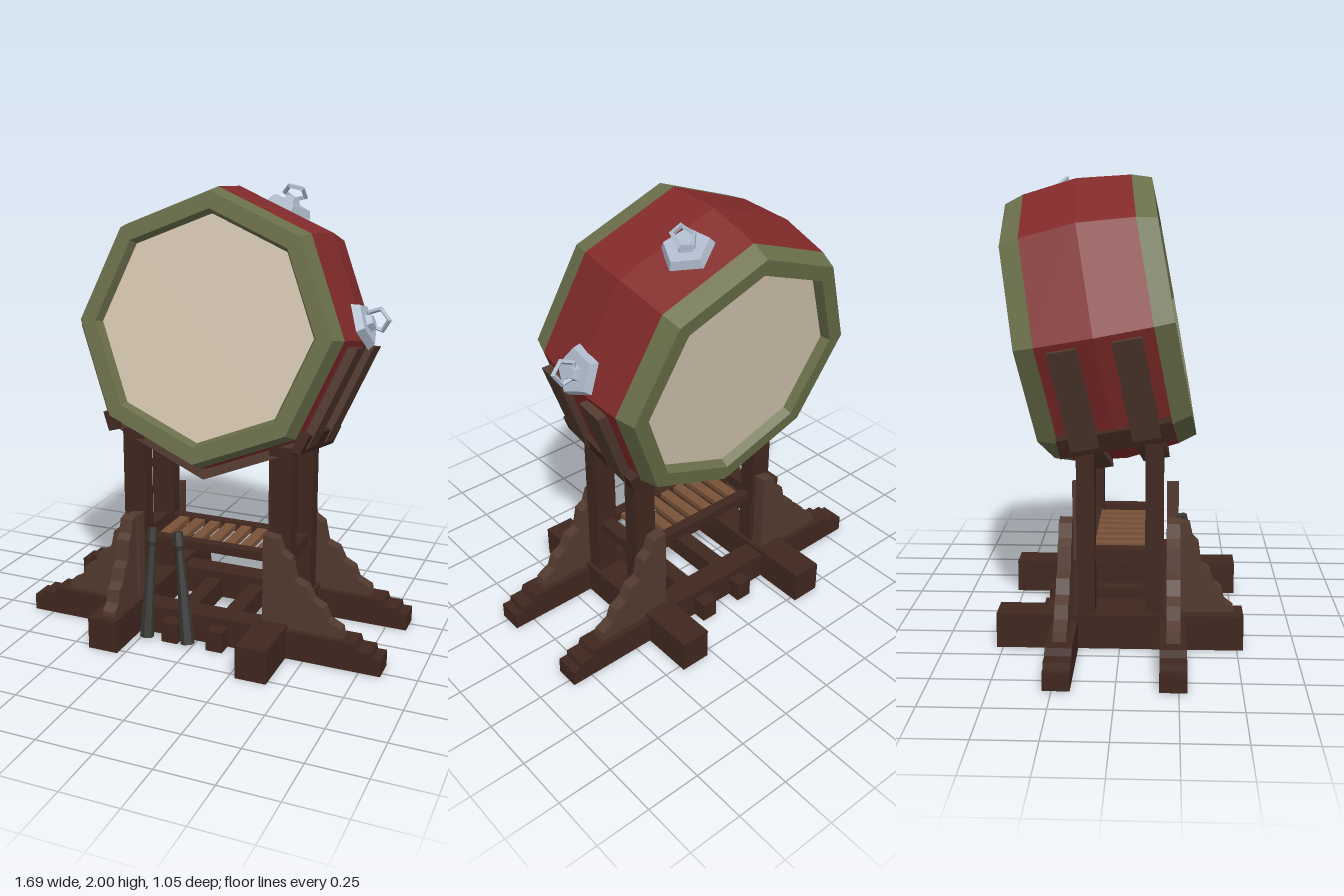
import * as THREE from 'three';

const mat = (color) => new THREE.MeshStandardMaterial({ color, flatShading: true });
const wood = mat(0x40271f), board = mat(0x523a2f), slatWood = mat(0x7a5238);
const red = mat(0x822a2a), green = mat(0x6a6f4a), skin = mat(0xd6c6b1);
const metal = mat(0xaebacb), dark = mat(0x383835);

function add(parent, name, geometry, material, x = 0, y = 0, z = 0) {
  const m = new THREE.Mesh(geometry, material);
  m.name = name;
  m.position.set(x, y, z);
  parent.add(m);
  return m;
}

// Box given by its limits on each axis
function box(parent, name, material, [x0, x1], [y0, y1], [z0, z1]) {
  return add(parent, name, new THREE.BoxGeometry(x1 - x0, y1 - y0, z1 - z0), material,
    (x0 + x1) / 2, (y0 + y1) / 2, (z0 + z1) / 2);
}

// Flat outline extruded along z and centred on it
function slab(points, depth) {
  const shape = new THREE.Shape(points.map(([x, y]) => new THREE.Vector2(x, y)));
  return new THREE.ExtrudeGeometry(shape, { depth, bevelEnabled: false }).translate(0, 0, -depth / 2);
}

// Eight-sided lathe with its axis along z
function octagonLathe(points) {
  const g = new THREE.LatheGeometry(points.map(([r, d]) => new THREE.Vector2(r, d)), 8);
  return g.rotateX(Math.PI / 2);
}

function ringMount(parent, angle, along, depth, twist, lean) {
  const g = new THREE.Group();
  g.name = 'ringMount';
  const n = [Math.cos(angle), Math.sin(angle)];
  g.position.set(n[0] * 0.585 + n[1] * along, n[1] * 0.585 - n[0] * along, depth);
  g.rotation.z = angle - Math.PI / 2;
  const turned = new THREE.Group();
  turned.name = 'mountFitting';
  turned.rotation.y = twist;
  g.add(turned);
  add(turned, 'mountPlate', new THREE.CylinderGeometry(0.095, 0.112, 0.035, 5), metal, 0, 0.012, 0);
  add(turned, 'mountBoss', new THREE.CylinderGeometry(0.03, 0.045, 0.03, 5), metal, 0, 0.04, 0);
  const ring = add(turned, 'pullRing', new THREE.TorusGeometry(0.05, 0.012, 4, 5), metal, 0, 0.075, 0);
  ring.rotation.x = lean;
  parent.add(g);
}

function buildDrum() {
  const drum = new THREE.Group();
  drum.name = 'drum';
  drum.position.set(0, 1.362, -0.094);
  drum.rotation.x = -0.179;

  add(drum, 'drumShell', octagonLathe([[0.604, -0.241], [0.632, 0], [0.604, 0.241]]), red);

  // Rims with a recessed skin at each end
  const rim = [[0.604, 0.241], [0.577, 0.326], [0.505, 0.326], [0.487, 0.285]];
  add(drum, 'frontRim', octagonLathe(rim), green);
  add(drum, 'backRim', octagonLathe(rim.map(([r, d]) => [r, -d]).reverse()), green);
  add(drum, 'frontSkin', new THREE.CircleGeometry(0.49, 8), skin, 0, 0, 0.286);
  add(drum, 'backSkin', new THREE.CircleGeometry(0.49, 8), skin, 0, 0, -0.286).rotation.y = Math.PI;

  // Cradle straps under the drum
  const arc = (r) => {
    const p = [0, 1, 2, 3, 4].map((i) => [r * Math.cos(i * Math.PI / 4), -r * Math.sin(i * Math.PI / 4)]);
    const f = 0.06;
    for (const [a, b] of [[0, 1], [4, 3]]) {
      p[a] = [p[a][0] + (p[b][0] - p[a][0]) * f, p[a][1] + (p[b][1] - p[a][1]) * f];
    }
    return p;
  };
  for (const w of [0.13, -0.13]) {
    add(drum, 'cradleStrap', slab([...arc(0.66), ...arc(0.615).reverse()], 0.12), board, 0, 0, w);
  }

  // Cradle bars along the lower corners
  for (const s of [-1, 1]) {
    const bar = add(drum, 'cradleBar', new THREE.BoxGeometry(0.045, 0.09, 0.48), wood, s * 0.447, -0.44, 0);
    bar.rotation.z = -s * Math.PI / 8;
  }

  ringMount(drum, Math.PI * 3 / 8, -0.025, -0.094, 0.5, 0.9);
  ringMount(drum, Math.PI / 8, 0.172, 0, 0.25, 0.25);
  return drum;
}

function buildStand() {
  const stand = new THREE.Group();
  stand.name = 'stand';

  // Cross beams with stepped ends
  const end = [[0.845, 0], [0.845, 0.075], [0.805, 0.075], [0.8, 0.1], [0.74, 0.1], [0.73, 0.13]];
  const beam = [...end, ...end.map(([x, y]) => [-x, y]).reverse()];
  // Stepped outline shared by all braces
  const brace = [[0.3, 0.12], [0.3, 0.55], [0.365, 0.54], [0.385, 0.48], [0.425, 0.455], [0.445, 0.36],
    [0.5, 0.34], [0.53, 0.28], [0.58, 0.255], [0.6, 0.2], [0.66, 0.17], [0.67, 0.12]];

  for (const z of [0.228, -0.232]) {
    add(stand, 'crossBeam', slab(beam, 0.11), wood, 0, 0, z);
    for (const s of [-1, 1]) {
      add(stand, 'sideBrace', slab(brace.map(([x, y]) => [s * x, y]), 0.057), board, 0, 0, z);
    }
  }

  for (const s of [-1, 1]) {
    const span = (a, b) => (s > 0 ? [a, b] : [-b, -a]);
    box(stand, 'runner', wood, span(0.28, 0.42), [0, 0.15], [-0.527, 0.527]);
    box(stand, 'frontPost', wood, span(0.298, 0.403), [0.14, 0.93], [0.108, 0.185]);
    box(stand, 'backPost', wood, span(0.298, 0.403), [0.14, 0.88], [-0.183, -0.106]);
    box(stand, 'sideRail', wood, span(0.32, 0.385), [0.38, 0.43], [-0.11, 0.11]);
    box(stand, 'floorJoist', wood, span(0.07, 0.147), [0, 0.095], [-0.35, 0.35]);
    box(stand, 'shelfRail', wood, [-0.3, 0.3], [0.385, 0.425], s > 0 ? [0.115, 0.165] : [-0.165, -0.115]);
  }

  // Shelf slats between the posts
  for (let i = 0; i < 7; i++) {
    const x = -0.24 + i * 0.08;
    box(stand, 'shelfSlat', slatWood, [x - 0.025, x + 0.025], [0.395, 0.42], [-0.12, 0.12]);
  }

  // Single brace on the front of the right runner
  const frontOutline = brace.map(([x, y]) => [0.255 + (x - 0.3) * 0.64, y]);
  add(stand, 'frontBrace', slab(frontOutline, 0.06), board, -0.338, 0, 0).rotation.y = -Math.PI / 2;
  return stand;
}

// Drumstick leaning between two points
function stick(from, to) {
  const a = new THREE.Vector3(...from), b = new THREE.Vector3(...to);
  const length = a.distanceTo(b);
  const g = new THREE.Group();
  g.name = 'drumstick';
  g.position.copy(a);
  g.quaternion.setFromUnitVectors(new THREE.Vector3(0, 1, 0), b.clone().sub(a).normalize());
  add(g, 'stickShaft', new THREE.CylinderGeometry(0.016, 0.032, length - 0.06, 6), dark, 0, (length - 0.06) / 2, 0);
  add(g, 'stickHead', new THREE.CylinderGeometry(0.022, 0.026, 0.06, 6), dark, 0, length - 0.035, 0);
  add(g, 'stickNeck', new THREE.CylinderGeometry(0.026, 0.016, 0.025, 6), dark, 0, length - 0.077, 0);
  return g;
}

export function createModel() {
  const model = new THREE.Group();
  model.name = 'drumOnStand';
  model.add(buildDrum(), buildStand());
  model.add(stick([-0.222, 0.008, 0.345], [-0.222, 0.51, 0.265]));
  model.add(stick([-0.02, 0.012, 0.345], [-0.1, 0.51, 0.265]));
  return model;
}
